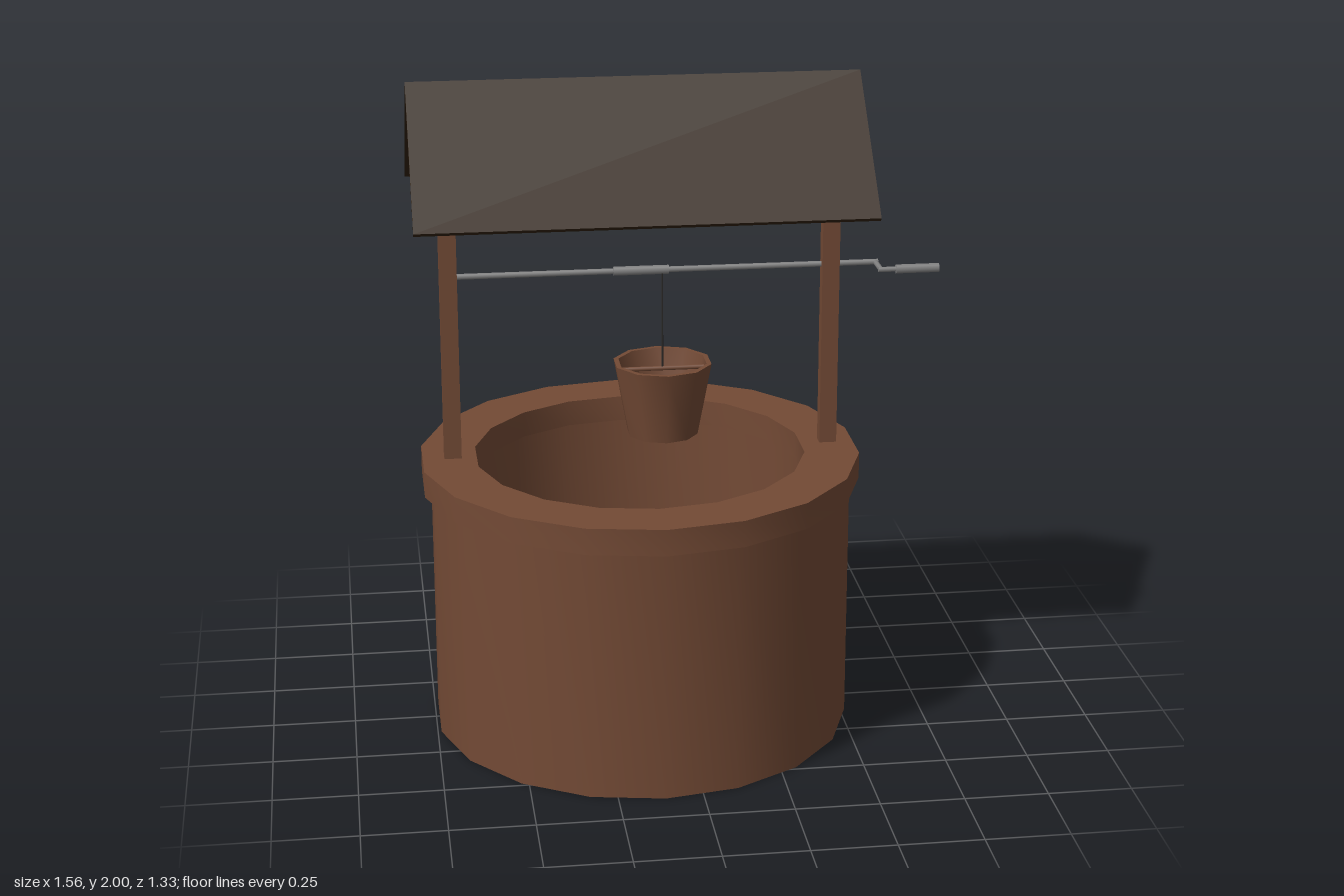
import * as THREE from 'three';
import { toCreasedNormals } from 'three/addons/utils/BufferGeometryUtils.js';

const mat = (color) => new THREE.MeshStandardMaterial({ color });
const wood = mat(0x734a35);
const shingle = mat(0x31210f);
const metal = mat(0x808080);
const ropeMat = mat(0x2c2a28);
const waterMat = mat(0x0f90de);
waterMat.side = THREE.DoubleSide;

const CX = -0.112; // axis of the well
const CZ = -0.01;  // plane of the posts and ridge

export function createModel() {
  const model = new THREE.Group();
  model.name = 'well';

  const add = (name, geometry, material, x = 0, y = 0, z = 0) => {
    const mesh = new THREE.Mesh(geometry, material);
    mesh.name = name;
    mesh.position.set(x, y, z);
    model.add(mesh);
    return mesh;
  };

  // Closed profile of [radius, height] pairs turned around the y axis
  const turned = (profile, sides) => toCreasedNormals(
    new THREE.LatheGeometry(profile.map(([r, y]) => new THREE.Vector2(r, y)), sides), 0.8);

  const ring = (outer, inner, y0, y1) => turned(
    [[inner, y0], [outer, y0], [outer, y1], [inner, y1], [inner, y0]], 18);

  // Upside-down V in the z-y plane, extruded along x and centred on it
  const chevron = (top, innerTop, half, innerHalf, length) => {
    const shape = new THREE.Shape([
      [0, top], [-half, top - half], [-innerHalf, innerTop - innerHalf],
      [0, innerTop], [innerHalf, innerTop - innerHalf], [half, top - half],
    ].map(([x, y]) => new THREE.Vector2(x, y)));
    return new THREE.ExtrudeGeometry(shape, { depth: length, bevelEnabled: false })
      .translate(0, 0, -length / 2).rotateY(Math.PI / 2);
  };

  // Cylinder lying along the x axis between two x positions
  const barX = (name, x0, x1, radius, y, z, material = metal) => add(name,
    new THREE.CylinderGeometry(radius, radius, x1 - x0, 8).rotateZ(Math.PI / 2),
    material, (x0 + x1) / 2, y, z);

  // Well wall, rim and water
  add('wall', ring(0.637, 0.53, 0, 0.772), wood, CX);
  add('rim', ring(0.665, 0.5, 0.772, 0.852), wood, CX);
  add('water', new THREE.CircleGeometry(0.53, 18).rotateX(-Math.PI / 2).rotateY(Math.PI / 2),
    waterMat, CX, 0.05);

  // Posts with a truss on each
  for (const [side, x] of [['right', -0.676], ['left', 0.466]]) {
    add(side + 'Post', new THREE.BoxGeometry(0.052, 1.11, 0.04), wood, x, 1.405, CZ);
    add(side + 'TieBeam', new THREE.BoxGeometry(0.046, 0.043, 0.6), wood, x, 1.6665, CZ);
    add(side + 'Rafters', chevron(1.97, 1.92, 0.285, 0.235, 0.046), wood, x, 0, CZ);
  }
  add('crossBeam', new THREE.BoxGeometry(1.1, 0.04, 0.038), wood, -0.105, 1.668, CZ);

  // Roof
  add('roof', chevron(2, 1.98, 0.355, 0.345, 1.328), shingle, -0.119, 0, CZ);

  // Windlass: axle, spool, crank and grip
  const axleZ = -0.015, crankX = 0.605, handleZ = 0.07, axleY = 1.412;
  barX('axle', -0.66, crankX + 0.008, 0.009, axleY, axleZ);
  barX('spool', -0.185, -0.02, 0.014, axleY, axleZ);
  add('crankArm', new THREE.CylinderGeometry(0.008, 0.008, handleZ - axleZ, 8).rotateX(Math.PI / 2),
    metal, crankX, axleY, (handleZ + axleZ) / 2);
  barX('handleRod', crankX - 0.008, 0.66, 0.008, axleY, handleZ);
  barX('handleGrip', 0.65, 0.78, 0.014, axleY, handleZ);

  // Bucket hanging on its rope
  const bucketX = -0.04;
  add('bucket', turned([[0, 0.903], [0.108, 0.903], [0.15, 1.127],
    [0.135, 1.127], [0.095, 0.92], [0, 0.92]], 10), wood, bucketX, 0, CZ);
  barX('bucketBar', bucketX - 0.135, bucketX + 0.135, 0.007, 1.105, CZ, wood);
  add('rope', new THREE.CylinderGeometry(0.003, 0.003, 0.307, 6), ropeMat, bucketX, 1.2585, CZ);

  return model;
}
